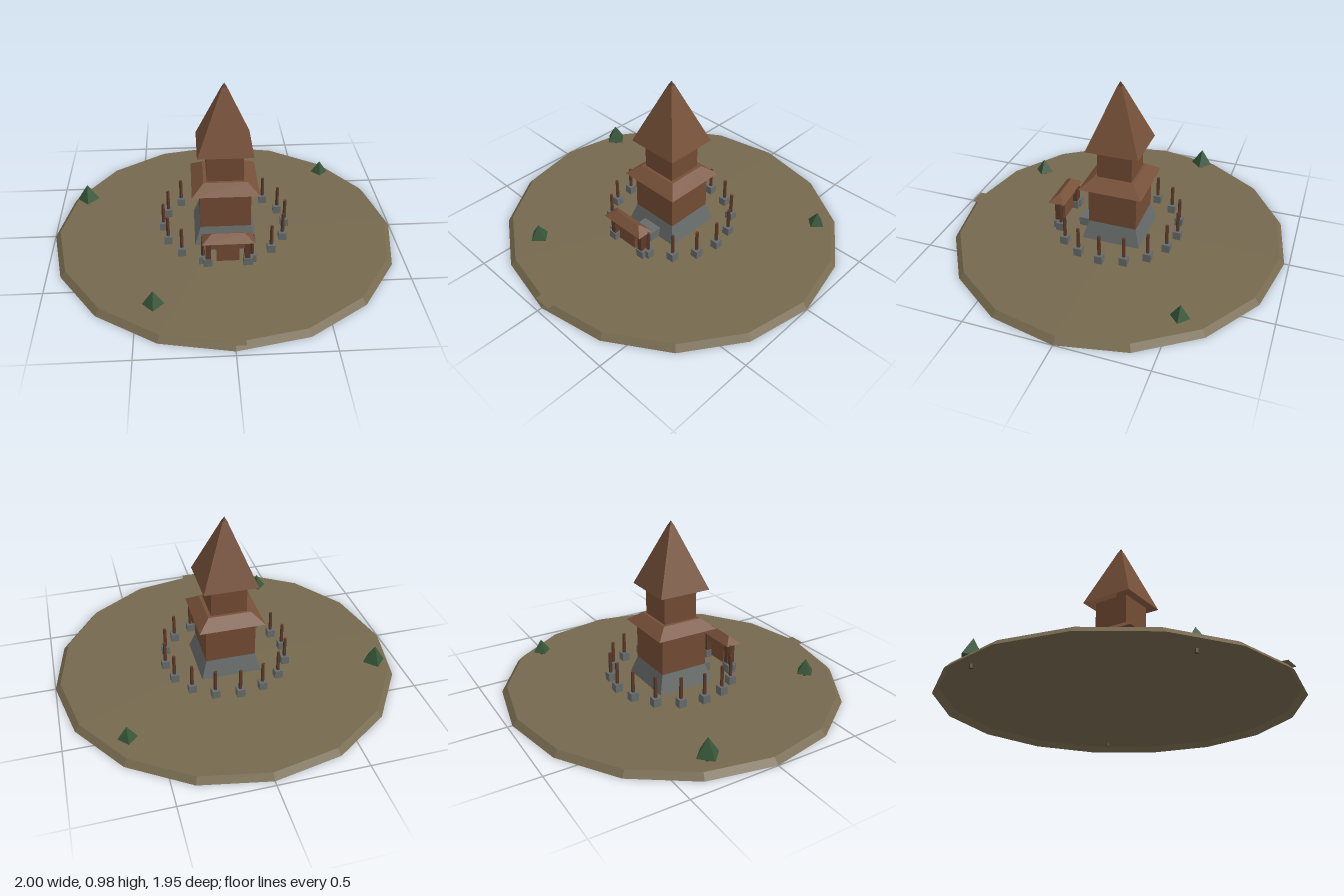
import * as THREE from 'three';

const mat = (name, color, side = THREE.FrontSide) => {
  const m = new THREE.MeshStandardMaterial({ color, side });
  m.name = name;
  return m;
};

export function createModel() {
  const model = new THREE.Group();
  model.name = 'watchtower';
  const earth = mat('earth', 0x75694e, THREE.DoubleSide);
  const stone = mat('stone', 0x666b69);
  const wall = mat('wallWood', 0x724b34);
  const roof = mat('roofWood', 0x765038, THREE.DoubleSide);
  const post = mat('postWood', 0x5c3b29);
  const leaf = mat('leaf', 0x365638);

  // Adds a faceted mesh
  const add = (name, geometry, material, x = 0, y = 0, z = 0, parent = model) => {
    const g = geometry.toNonIndexed();
    g.computeVertexNormals();
    const mesh = new THREE.Mesh(g, material);
    mesh.name = name;
    mesh.position.set(x, y, z);
    parent.add(mesh);
    return mesh;
  };
  // Box standing on y0
  const box = (name, w, y0, y1, d, material, x, z, parent) =>
    add(name, new THREE.BoxGeometry(w, y1 - y0, d), material, x, (y0 + y1) / 2, z, parent);
  // Box whose top is drawn in to the given width and depth
  const taper = (name, w, d, topW, topD, y0, y1, material, x = 0, z = 0, parent = model) => {
    const g = new THREE.BoxGeometry(w, y1 - y0, d);
    const p = g.attributes.position;
    for (let i = 0; i < p.count; i++) {
      if (p.getY(i) > 0) {
        p.setX(i, p.getX(i) * topW / w);
        p.setZ(i, p.getZ(i) * topD / d);
      }
    }
    return add(name, g, material, x, (y0 + y1) / 2, z, parent);
  };
  // Four-sided pyramid, open below, sides facing the axes
  const pyramid = (name, w, d, topW, y0, y1, material) => {
    const g = new THREE.CylinderGeometry(topW * Math.SQRT1_2, Math.SQRT1_2 * w, y1 - y0, 4, 1, true);
    g.rotateY(Math.PI / 4);
    g.scale(1, 1, d / w);
    return add(name, g, material, 0, (y0 + y1) / 2, 0);
  };

  // Ground as a shell open below: sloping rim and flat top
  const rim = new THREE.CylinderGeometry(0.97, 1, 0.032, 16, 1, true);
  rim.scale(1, 1, 0.973);
  add('groundRim', rim, earth, 0, 0.016, 0);
  const top = new THREE.CircleGeometry(0.97, 16);
  top.rotateX(-Math.PI / 2);
  top.scale(1, 1, 0.973);
  add('groundTop', top, earth, 0, 0.032, 0);

  // End of the path, a thin sheet over the front rim
  const lip = new THREE.PlaneGeometry(0.106, 0.035);
  lip.rotateX(-Math.PI / 2);
  add('pathEnd', lip, earth, 0, 0.0322, 0.9495);

  // Tower, from the stone foot to the tip
  taper('foundation', 0.354, 0.344, 0.285, 0.28, 0.033, 0.14, stone);
  box('lowerStorey', 0.29, 0.138, 0.368, 0.284, wall, 0, 0);
  taper('skirtRoof', 0.38, 0.37, 0.246, 0.236, 0.365, 0.42, roof);
  box('upperStorey', 0.208, 0.41, 0.6, 0.204, wall, 0, 0);
  pyramid('spire', 0.312, 0.308, 0.026, 0.595, 0.95, roof);
  pyramid('spireTip', 0.03, 0.03, 0, 0.944, 0.975, post);
  box('doorStep', 0.125, 0.033, 0.085, 0.1, stone, 0, 0.186);

  // Ring of posts on stone footings, with the gate at the front
  const fence = new THREE.Group();
  fence.name = 'fence';
  model.add(fence);
  for (let i = 1; i < 16; i++) {
    const a = i * Math.PI / 8;
    const x = Math.sin(a) * 0.358;
    const z = Math.cos(a) * 0.351;
    box('footing', 0.046, 0.033, 0.082, 0.046, stone, x, z, fence);
    add('fencePost', new THREE.CylinderGeometry(0.01, 0.011, 0.125, 5), post, x, 0.1425, z, fence);
  }

  // Gate
  const gate = new THREE.Group();
  gate.name = 'gate';
  model.add(gate);
  for (const side of [-1, 1]) {
    box('gateFooting', 0.05, 0.033, 0.08, 0.062, stone, side * 0.112, 0.34, gate);
    box('gatePost', 0.03, 0.08, 0.206, 0.05, post, side * 0.108, 0.34, gate);
  }
  box('gateLintel', 0.21, 0.147, 0.205, 0.04, wall, 0, 0.343, gate);
  box('gateDoor', 0.126, 0.06, 0.17, 0.028, wall, 0, 0.343, gate);
  taper('gateRoof', 0.286, 0.098, 0.178, 0.004, 0.202, 0.242, roof, 0, 0.347, gate);

  // Trees: x, z, crown radius, crown bottom, crown top
  for (const [x, z, r, y0, y1] of [
    [0.663, -0.545, 0.053, 0.055, 0.132],
    [-0.83, -0.295, 0.066, 0.065, 0.165],
    [-0.405, 0.675, 0.058, 0.057, 0.14],
  ]) {
    const tree = new THREE.Group();
    tree.name = 'tree';
    tree.position.set(x, 0, z);
    model.add(tree);
    add('trunk', new THREE.CylinderGeometry(0.008, 0.01, y0 - 0.005, 5), post, 0, (y0 + 0.015) / 2, 0, tree);
    add('crown', new THREE.ConeGeometry(r, y1 - y0, 4), leaf, 0, (y0 + y1) / 2, 0, tree);
  }
  return model;
}
